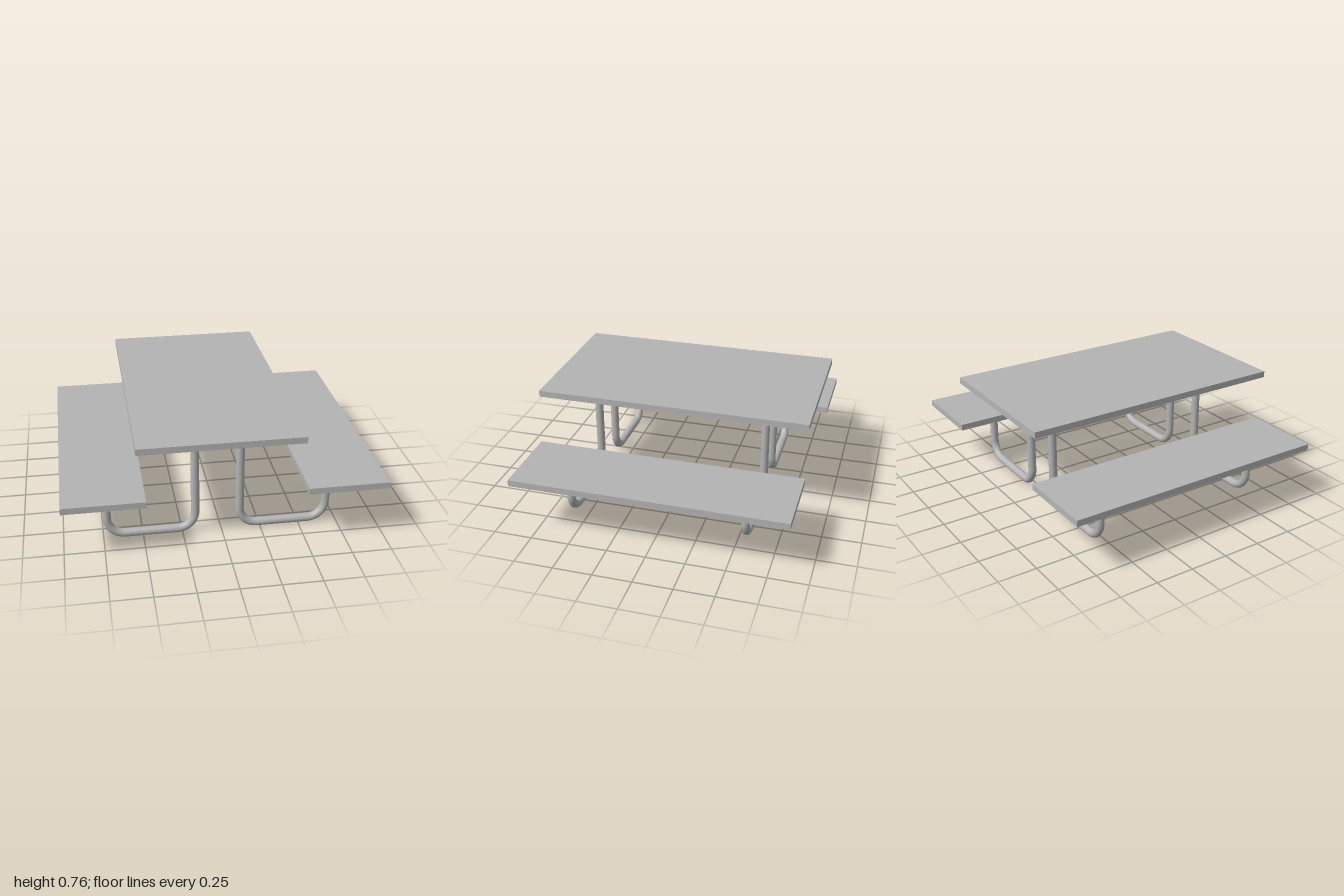
import * as THREE from 'three';

export function createModel() {
  const group = new THREE.Group();
  const grey = new THREE.MeshStandardMaterial({ color: 0xb4b4b4 });
  grey.name = 'plain grey';

  // Flat boards: table top and two benches
  const board = (name, x0, x1, y0, y1) => {
    const mesh = new THREE.Mesh(new THREE.BoxGeometry(x1 - x0, y1 - y0, 1.742), grey);
    mesh.name = name;
    mesh.position.set((x0 + x1) / 2, (y0 + y1) / 2, 0);
    group.add(mesh);
  };
  board('tableTop', -0.548, 0.465, 0.716, 0.757);
  board('rightBench', -1, -0.495, 0.361, 0.402);
  board('leftBench', 0.493, 1, 0.361, 0.402);

  // Bent pipe: down from the bench, along the ground, up to the table top
  const pipeRadius = 0.027, bend = 0.113, floor = pipeRadius;
  const handle = bend * (1 - 0.5523);
  const v = (x, y) => new THREE.Vector3(x, y, 0);
  const pipe = (outer, inner) => {
    const s = Math.sign(inner - outer);
    const path = new THREE.CurvePath();
    path.add(new THREE.LineCurve3(v(outer, 0.363), v(outer, floor + bend)));
    path.add(new THREE.CubicBezierCurve3(v(outer, floor + bend), v(outer, floor + handle),
      v(outer + s * handle, floor), v(outer + s * bend, floor)));
    path.add(new THREE.LineCurve3(v(outer + s * bend, floor), v(inner - s * bend, floor)));
    path.add(new THREE.CubicBezierCurve3(v(inner - s * bend, floor), v(inner - s * handle, floor),
      v(inner, floor + handle), v(inner, floor + bend)));
    path.add(new THREE.LineCurve3(v(inner, floor + bend), v(inner, 0.718)));
    return new THREE.TubeGeometry(path, 110, pipeRadius, 24, false);
  };

  // A pair of pipe legs at each end
  const pipes = { rightLeg: pipe(-0.725, -0.168), leftLeg: pipe(0.676, 0.117) };
  for (const [end, z] of [['front', 0.602], ['back', -0.547]]) {
    const legs = new THREE.Group();
    legs.name = end + 'Legs';
    legs.position.z = z;
    for (const [name, geometry] of Object.entries(pipes)) {
      const leg = new THREE.Mesh(geometry, grey);
      leg.name = name;
      legs.add(leg);
    }
    group.add(legs);
  }
  return group;
}
